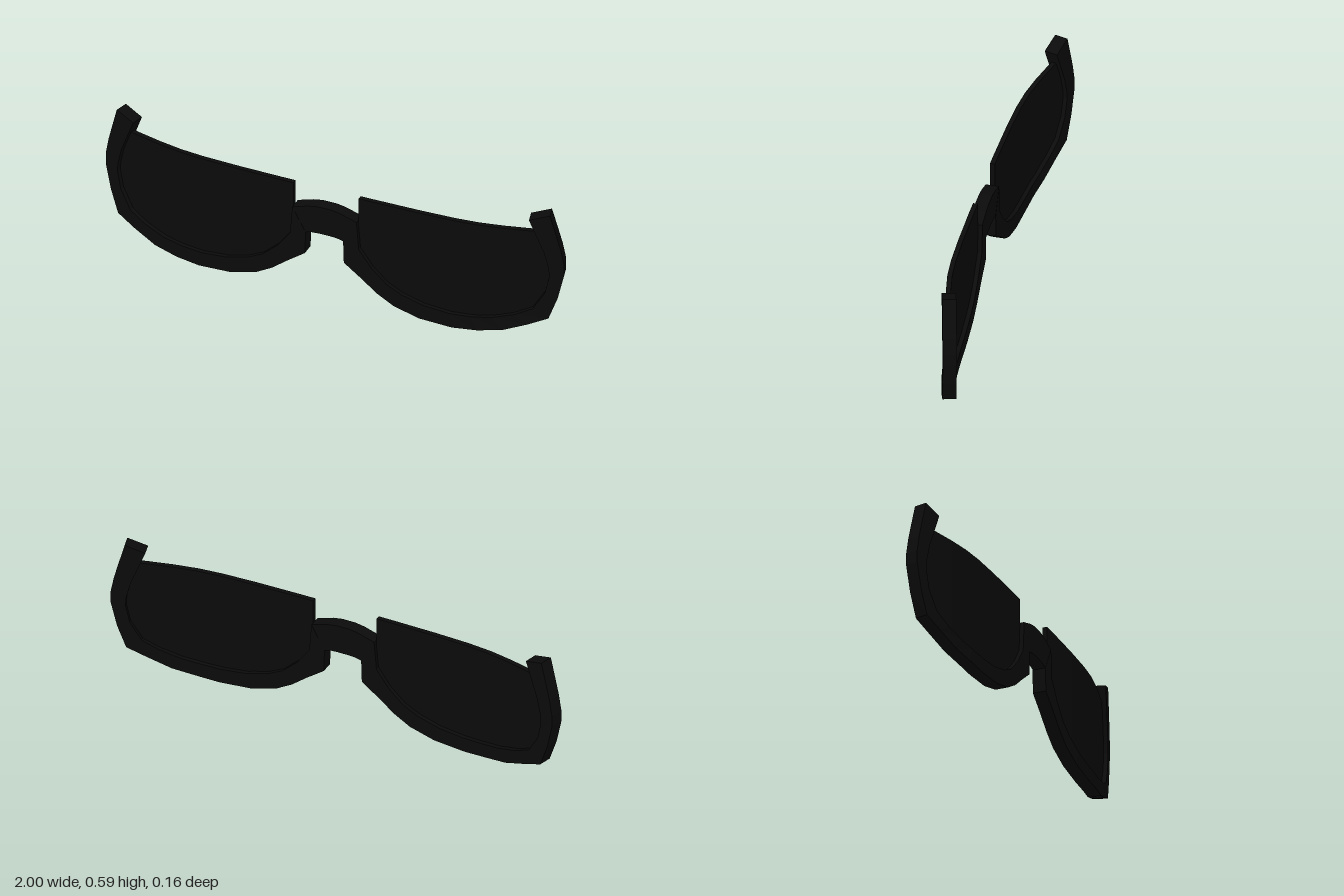
import * as THREE from 'three';

// Wrap curve of the whole front: depth against distance from the middle
const WRAP = [[0, 0.051], [0.2, 0.051], [0.4, 0.048], [0.55, 0.042], [0.65, 0.032],
  [0.75, 0.013], [0.855, -0.013], [0.935, -0.036], [1.1, -0.082]];

function wrapZ(x) {
  const d = Math.abs(x);
  let i = 1;
  while (i < WRAP.length - 1 && WRAP[i][0] < d) i++;
  const [x0, z0] = WRAP[i - 1], [x1, z1] = WRAP[i];
  return z0 + (z1 - z0) * (d - x0) / (x1 - x0);
}

// Moves a flat point onto the wrap curve, offset t along the curve's normal
function bend(x, y, t) {
  const e = 0.04;
  const n = new THREE.Vector2(-(wrapZ(x + e) - wrapZ(x - e)) / (2 * e), 1).normalize();
  return [x + n.x * t, y, wrapZ(x) + n.y * t];
}

// Solid strip through rungs [ax, ay, bx, by], given half thickness; side -1 mirrors it
function strip(rungs, half, side = 1) {
  const pos = [];
  const quad = (a, b, c, d) => {
    const q = side > 0 ? [a, b, c, a, c, d] : [a, c, b, a, d, c];
    for (const p of q) pos.push(p[0] * side, p[1], p[2]);
  };
  // corners of each section: outer front, inner front, inner back, outer back
  const sections = rungs.map(([ax, ay, bx, by]) => [
    bend(ax, ay, half), bend(bx, by, half), bend(bx, by, -half), bend(ax, ay, -half)]);
  for (let i = 0; i < sections.length - 1; i++) {
    const s = sections[i], n = sections[i + 1];
    for (let k = 0; k < 4; k++) {
      const m = (k + 1) % 4;
      quad(s[k], s[m], n[m], n[k]);
    }
  }
  const first = sections[0], last = sections[sections.length - 1];
  quad(first[3], first[2], first[1], first[0]);
  quad(last[0], last[1], last[2], last[3]);
  const g = new THREE.BufferGeometry();
  g.setAttribute('position', new THREE.Float32BufferAttribute(pos, 3));
  g.computeVertexNormals();
  return g;
}

// Rim rungs: outer edge, inner edge, from the upper tip round to the nose
const RIM = [
  [0.938, 0.59, 0.857, 0.562], [0.962, 0.5, 0.888, 0.48], [0.98, 0.43, 0.915, 0.41],
  [0.993, 0.36, 0.932, 0.34], [0.993, 0.31, 0.935, 0.3], [0.968, 0.2, 0.918, 0.22],
  [0.932, 0.1, 0.87, 0.14], [0.85, 0.063, 0.8, 0.105], [0.75, 0.024, 0.71, 0.078],
  [0.65, 0.008, 0.63, 0.068], [0.55, 0, 0.54, 0.064], [0.41, 0.009, 0.43, 0.075],
  [0.3, 0.04, 0.335, 0.102], [0.23, 0.08, 0.27, 0.135], [0.16, 0.135, 0.205, 0.195],
  [0.085, 0.19, 0.15, 0.27], [0.082, 0.29, 0.14, 0.396]];

// Lens rungs: lower edge (tucked into the rim), straight upper edge
const LENS = [
  [0.945, 0.24, 0.945, 0.42], [0.9, 0.15, 0.9, 0.5], [0.855, 0.1, 0.855, 0.5],
  [0.75, 0.06, 0.75, 0.5], [0.65, 0.045, 0.65, 0.5], [0.55, 0.04, 0.55, 0.5],
  [0.4, 0.05, 0.4, 0.5], [0.3, 0.09, 0.3, 0.5], [0.2, 0.17, 0.2, 0.5],
  [0.142, 0.25, 0.142, 0.5]];

// Half of the arched bridge: lower edge, upper edge
const BRIDGE = [[0.082, 0.29, 0.14, 0.396], [0.055, 0.297, 0.07, 0.418], [0.025, 0.299, 0.03, 0.425]];

export function createModel() {
  const model = new THREE.Group();
  model.name = 'sunglassesFront';
  const black = new THREE.MeshStandardMaterial({ color: 0x0b0b0b });
  black.name = 'black';
  const add = (name, geometry) => {
    const mesh = new THREE.Mesh(geometry, black);
    mesh.name = name;
    model.add(mesh);
  };

  for (const side of [1, -1]) {
    const label = side > 0 ? 'left' : 'right';
    add(label + 'Rim', strip(RIM, 0.028, side));
    add(label + 'Lens', strip(LENS, 0.01, side));
  }

  const otherHalf = BRIDGE.map(([ax, ay, bx, by]) => [-ax, ay, -bx, by]).reverse();
  add('bridge', strip([...BRIDGE, ...otherHalf], 0.027));
  return model;
}
